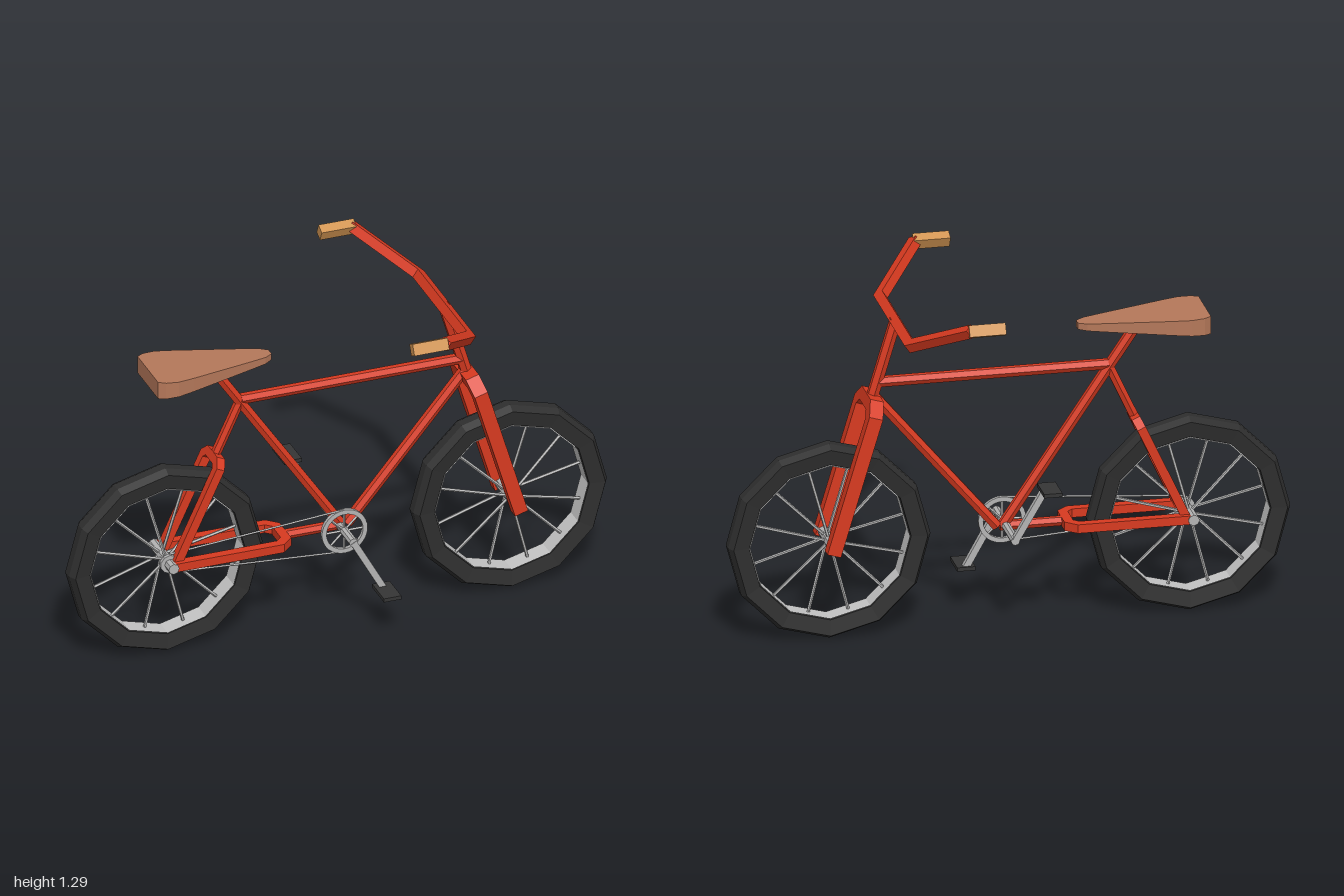
import * as THREE from 'three';

const paint = (name, color) => {
  const m = new THREE.MeshStandardMaterial({ color, flatShading: true });
  m.name = name;
  return m;
};
const V = (x, y, z) => new THREE.Vector3(x, y, z);

function mesh(parent, name, geometry, material) {
  const m = new THREE.Mesh(geometry, material);
  m.name = name;
  parent.add(m);
  return m;
}

// Straight rod between two points
function rod(parent, name, a, b, r, mat, sides = 6) {
  const m = mesh(parent, name, new THREE.CylinderGeometry(r, r, a.distanceTo(b), sides), mat);
  m.position.copy(a).add(b).multiplyScalar(0.5);
  m.quaternion.setFromUnitVectors(V(0, 1, 0), b.clone().sub(a).normalize());
  return m;
}

// Rectangular bar swept along a bent planar path with mitred joints; n is the plane's normal
function bar(parent, name, pts, n, width, depth, mat) {
  n = n.clone().normalize();
  const sides = pts.slice(1).map((p, i) => n.clone().cross(p.clone().sub(pts[i]).normalize()));
  const rings = pts.map((p, i) => {
    const a = sides[Math.max(i - 1, 0)], b = sides[Math.min(i, sides.length - 1)];
    const m = a.clone().add(b).normalize();
    m.divideScalar(m.dot(a));
    return [[-1, -1], [1, -1], [1, 1], [-1, 1]].map(([u, v]) =>
      p.clone().addScaledVector(m, u * width / 2).addScaledVector(n, v * depth / 2));
  });
  const out = [];
  const quad = (a, b, c, d) => [a, b, c, a, c, d].forEach((p) => out.push(p));
  for (let i = 0; i + 1 < rings.length; i++)
    for (let j = 0; j < 4; j++) {
      const k = (j + 1) % 4;
      quad(rings[i][j], rings[i][k], rings[i + 1][k], rings[i + 1][j]);
    }
  const [s, e] = [rings[0], rings[rings.length - 1]];
  quad(s[3], s[2], s[1], s[0]);
  quad(e[0], e[1], e[2], e[3]);
  const g = new THREE.BufferGeometry().setFromPoints(out);
  g.computeVertexNormals();
  return mesh(parent, name, g, mat);
}

// Half a path, completed by its mirror image across z = 0
const mirrored = (half) => [...half, ...half.slice().reverse().map((p) => V(p.x, p.y, -p.z))];

export function createModel() {
  const red = paint('frame red', 0xd83a20);
  const black = paint('tyre black', 0x2e2e2e);
  const metal = paint('light metal', 0xb4b4b4);
  const leather = paint('saddle brown', 0xb5785a);
  const gripTan = paint('grip tan', 0xd29552);
  const pedalGrey = paint('pedal grey', 0x353535);
  const rimMetal = paint('rim metal', 0xc4c4c4);
  rimMetal.side = THREE.DoubleSide;

  const bike = new THREE.Group();
  bike.name = 'bicycle';
  const axleY = 0.365;

  // Wheels
  const section = [[0.288, -0.036], [0.345, -0.045], [0.36, -0.018], [0.36, 0.018],
    [0.345, 0.045], [0.288, 0.036], [0.288, -0.036]].map(([r, y]) => new THREE.Vector2(r, y));
  for (const [name, x] of [['rearWheel', -0.64], ['frontWheel', 0.64]]) {
    const wheel = new THREE.Group();
    wheel.name = name;
    wheel.position.set(x, axleY, 0);
    bike.add(wheel);
    mesh(wheel, 'tyre', new THREE.LatheGeometry(section, 12), black).rotation.x = Math.PI / 2;
    mesh(wheel, 'rim', new THREE.CylinderGeometry(0.284, 0.284, 0.072, 12, 1, true), rimMetal)
      .rotation.x = Math.PI / 2;
    rod(wheel, 'hub', V(0, 0, -0.1), V(0, 0, 0.1), 0.02, metal, 8);
    for (let i = 0; i < 12; i++) {
      const a = (i + 0.5) * Math.PI / 6;
      rod(wheel, 'spoke', V(0, 0, i % 2 ? 0.02 : -0.02),
        V(Math.cos(a) * 0.278, Math.sin(a) * 0.278, 0), 0.006, metal, 5);
    }
  }

  // Main frame
  const seatNode = V(-0.355, 0.935, 0), crankNode = V(0.02, 0.365, 0);
  const steer = (y, z = 0) => V(0.4 + 0.3 * (1.16 - y), y, z);
  rod(bike, 'seatTube', crankNode, V(-0.465, 1.085, 0), 0.02, red);
  rod(bike, 'topTube', seatNode, steer(0.935), 0.02, red);
  rod(bike, 'downTube', V(0.04, 0.365, 0), steer(0.89), 0.02, red);
  rod(bike, 'steeringTube', steer(0.86), steer(1.16), 0.022, red);
  rod(bike, 'bottomTube', V(-0.22, 0.365, 0), V(0.03, 0.365, 0), 0.018, red);

  // Forked stays beside the rear wheel
  bar(bike, 'chainStays', mirrored([V(-0.63, 0.365, 0.078), V(-0.235, 0.365, 0.078),
    V(-0.205, 0.365, 0.05)]), V(0, 1, 0), 0.034, 0.032, red);
  const stay = (t, z) => V(-0.62, 0.365, z).lerp(V(-0.355, 0.935, z), t);
  bar(bike, 'seatStays', mirrored([stay(0, 0.062), stay(0.6, 0.062), stay(0.635, 0.04)]),
    V(0.57, -0.265, 0), 0.032, 0.032, red);
  rod(bike, 'seatStayBridge', stay(0.62, 0), seatNode, 0.018, red);

  // Front fork
  bar(bike, 'fork', mirrored([steer(0.345, 0.098), steer(0.835, 0.098), steer(0.87, 0.06)]),
    V(1, 0.3, 0), 0.044, 0.05, red);

  // Handlebar and grips
  bar(bike, 'handlebar', mirrored([V(0.23, 1.272, 0.455), V(0.4, 1.155, 0.245)]),
    V(0.117, 0.17, 0), 0.035, 0.035, red);
  for (const s of [1, -1]) {
    const grip = mesh(bike, s > 0 ? 'leftGrip' : 'rightGrip',
      new THREE.BoxGeometry(0.13, 0.042, 0.036), gripTan);
    grip.position.set(0.175, 1.27, s * 0.452);
    grip.rotation.x = -s * 0.45;
  }

  // Saddle: flat outline, thinned towards the nose
  const half = [[-0.7, 0.1], [-0.675, 0.115], [-0.63, 0.12], [-0.57, 0.108],
    [-0.34, 0.052], [-0.275, 0.035], [-0.245, 0.015]];
  const outline = new THREE.Shape([...half, ...half.slice().reverse().map(([x, z]) => [x, -z])]
    .map(([x, z]) => new THREE.Vector2(x, z)));
  const saddleGeo = new THREE.ExtrudeGeometry(outline, { depth: 1, bevelEnabled: false })
    .rotateX(-Math.PI / 2);
  const p = saddleGeo.attributes.position;
  for (let i = 0; i < p.count; i++) {
    const t = (p.getX(i) + 0.7) / 0.455;
    p.setY(i, p.getY(i) > 0.5 ? 1.12 - 0.02 * t : 1.055 + 0.022 * t);
  }
  saddleGeo.computeVertexNormals();
  mesh(bike, 'saddle', saddleGeo, leather);

  // Chainring with spokes
  const cx = 0.01, cy = 0.367, ringZ = 0.053;
  const ringShape = new THREE.Shape().absarc(0, 0, 0.085, 0, Math.PI * 2);
  ringShape.holes.push(new THREE.Path().absarc(0, 0, 0.068, 0, Math.PI * 2, true));
  mesh(bike, 'chainring', new THREE.ExtrudeGeometry(ringShape,
    { depth: 0.014, bevelEnabled: false, curveSegments: 16 }), metal).position.set(cx, cy, 0.046);
  for (let i = 0; i < 8; i++) {
    const a = i * Math.PI / 4;
    rod(bike, 'chainringSpoke', V(cx, cy, ringZ),
      V(cx + Math.cos(a) * 0.07, cy + Math.sin(a) * 0.07, ringZ), 0.005, metal, 4);
  }
  rod(bike, 'sprocket', V(-0.64, axleY, 0.046), V(-0.64, axleY, 0.06), 0.035, metal, 10);

  // Chain runs
  for (const s of [1, -1])
    rod(bike, 'chainRun', V(-0.64, axleY + s * 0.036, ringZ),
      V(cx, cy + s * 0.083, ringZ), 0.004, metal, 4);

  // Crank axle, arms and pedals
  rod(bike, 'crankAxle', V(cx, cy, -0.168), V(cx, cy, 0.146), 0.016, metal, 8);
  for (const [side, x, y, armZ, pedalZ] of [['left', 0.122, 0.166, 0.137, 0.175],
    ['right', -0.104, 0.561, -0.159, -0.203]]) {
    bar(bike, side + 'CrankArm', [V(cx, cy, armZ), V(x, y, armZ)], V(0, 0, 1), 0.024, 0.022, metal);
    mesh(bike, side + 'Pedal', new THREE.BoxGeometry(0.065, 0.014, 0.115), pedalGrey)
      .position.set(x, y, pedalZ);
  }
  return bike;
}
